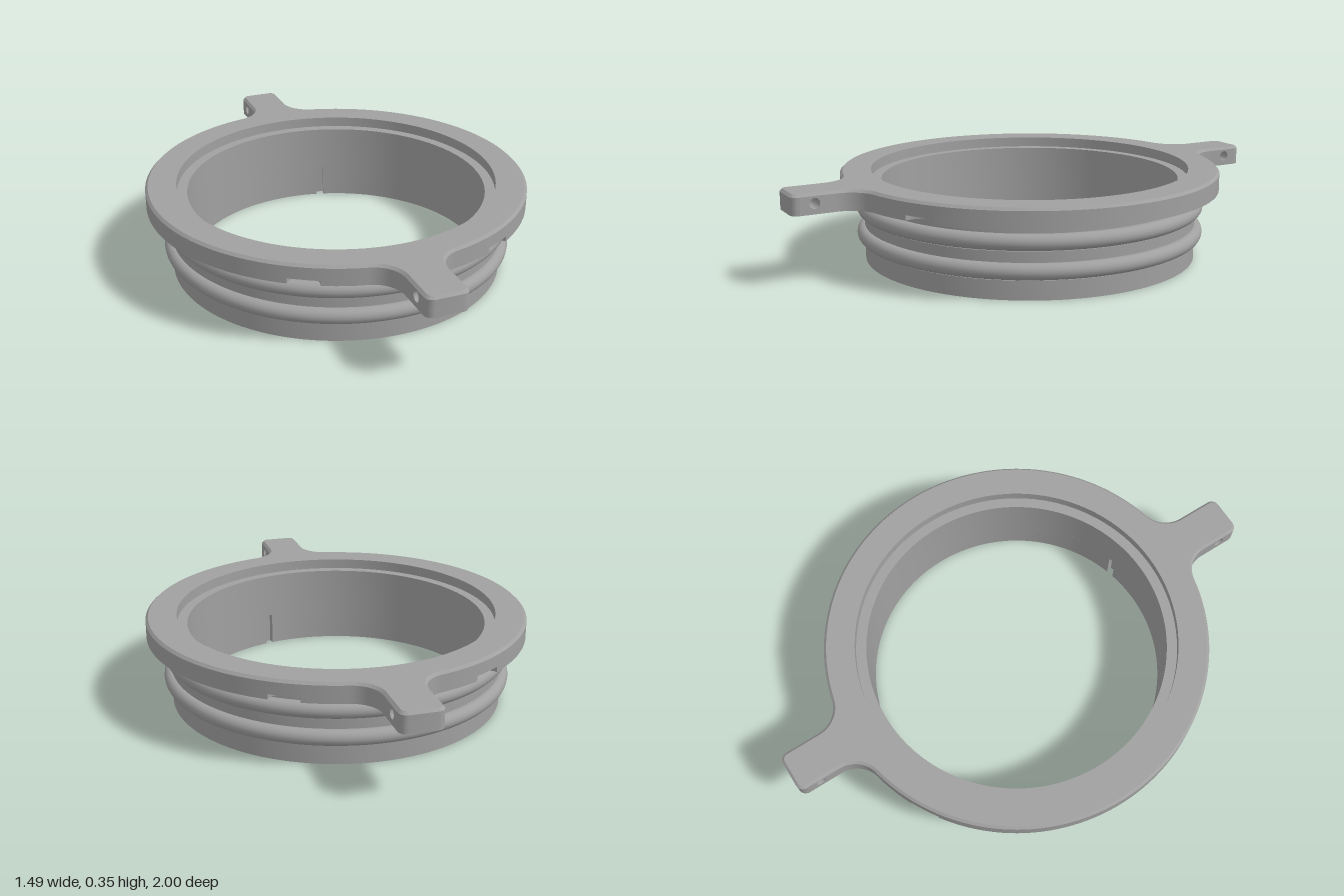
import * as THREE from 'three';
import { toCreasedNormals } from 'three/addons/utils/BufferGeometryUtils.js';

const R = 0.745, BODY = 0.655, BORE = 0.585, SEAT = 0.625;
const Y_FLANGE = 0.275, Y_NOTCH = 0.295, Y_CHAMFER = 0.342, Y_TOP = 0.352, Y_SEAT = 0.312, Y_SLOT = 0.13;
const TAB = 0.08, FILLET = 0.11, CORNER = 0.03, NOTCH = 0.058, SEG = 128;
const TAB_ROOT = Math.sqrt((R + FILLET) ** 2 - (TAB + FILLET) ** 2);

// Points [x, z] on an arc; angles run from +z towards +x
const arc = (cx, cz, r, a0, a1, n) => Array.from({ length: n + 1 }, (_, i) => {
  const a = a0 + (a1 - a0) * i / n;
  return [cx + r * Math.sin(a), cz + r * Math.cos(a)];
});
const circle = (r) => arc(0, 0, r, 0, Math.PI * 2, SEG).slice(0, SEG);

// Half-round notch cut into the rim, 30 degrees off the tab
const NA = Math.PI / 6, NH = 2 * Math.asin(NOTCH / (2 * R));
const notchArc = () => arc(R * Math.sin(NA), R * Math.cos(NA), NOTCH,
  NA - Math.PI / 2 - NH / 2, NA - Math.PI * 1.5 + NH / 2, 16);

// Flange outline: one quarter, mirrored to a full loop
function outline(notched) {
  const xc = TAB + FILLET, phi = Math.atan2(xc, TAB_ROOT);
  const q = [
    ...arc(TAB - CORNER, 1 - CORNER, CORNER, 0, Math.PI / 2, 6),
    ...arc(xc, TAB_ROOT, FILLET, -Math.PI / 2, phi - Math.PI, 12),
    ...arc(0, 0, R, phi, NA - NH, 6).slice(1),
    ...(notched ? notchArc().slice(1, -1) : arc(0, 0, R, NA - NH, NA + NH, 4).slice(1, -1)),
    ...arc(0, 0, R, NA + NH, Math.PI / 2, 24),
  ];
  const flip = (sx, sz) => q.map(([x, z]) => [x * sx, z * sz]);
  return [...q, ...flip(1, -1).reverse().slice(1), ...flip(-1, -1), ...flip(-1, 1).reverse().slice(1)];
}

// Move every point of a loop inwards
const inset = (loop, d) => loop.map(([x, z], i) => {
  const p = loop[(i + loop.length - 1) % loop.length], n = loop[(i + 1) % loop.length];
  const dx = n[0] - p[0], dz = n[1] - p[1], l = Math.hypot(dx, dz);
  return [x + d * dz / l, z - d * dx / l];
});

// Wall between two matching loops; skip leaves out chosen segments
function band(a, y0, b, y1, skip = () => false) {
  const pos = [];
  a.forEach((p, i) => {
    const j = (i + 1) % a.length;
    if (skip(p, a[j])) return;
    const A = [p[0], y0, p[1]], B = [a[j][0], y0, a[j][1]];
    const C = [b[j][0], y1, b[j][1]], D = [b[i][0], y1, b[i][1]];
    pos.push(...A, ...B, ...C, ...A, ...C, ...D);
  });
  const g = new THREE.BufferGeometry();
  g.setAttribute('position', new THREE.Float32BufferAttribute(pos, 3));
  return toCreasedNormals(g, 0.5);
}

// Flat horizontal face with an optional hole, facing up or down
function plate(outer, hole, y, up) {
  const v = (l) => l.map(([x, z]) => new THREE.Vector2(x, up ? -z : z));
  const s = new THREE.Shape(v(outer));
  if (hole) s.holes.push(new THREE.Path(v(hole)));
  return new THREE.ShapeGeometry(s).rotateX(up ? -Math.PI / 2 : Math.PI / 2).translate(0, y, 0);
}

const lathe = (pts) => toCreasedNormals(
  new THREE.LatheGeometry(pts.map(([r, y]) => new THREE.Vector2(r, y)), SEG), 0.5);

export function createModel() {
  const model = new THREE.Group();
  const grey = new THREE.MeshStandardMaterial({ color: 0xa0a0a0, side: THREE.DoubleSide });
  grey.name = 'grey';
  const add = (name, geometry, parent = model) => {
    const m = new THREE.Mesh(geometry, grey);
    m.name = name;
    parent.add(m);
    return m;
  };
  const group = (name) => {
    const g = new THREE.Group();
    g.name = name;
    model.add(g);
    return g;
  };

  // Flange with two tabs, chamfered along the top
  const flange = group('flange');
  const plain = outline(false), notched = outline(true), top = inset(plain, 0.01);
  const tabSide = (p, q) => Math.abs(p[0] - q[0]) < 1e-6 && Math.abs(p[1] - q[1]) > 0.1;
  add('flangeUnderside', plate(notched, circle(BODY), Y_FLANGE, false), flange);
  add('flangeLowerRim', band(notched, Y_FLANGE, notched, Y_NOTCH, tabSide), flange);
  add('flangeRim', band(plain, Y_NOTCH, plain, Y_CHAMFER, tabSide), flange);
  add('flangeChamfer', band(plain, Y_CHAMFER, top, Y_TOP), flange);
  add('flangeTop', plate(top, circle(SEAT), Y_TOP, true), flange);

  // Roofs of the four rim notches
  const roof = [...notchArc(), ...arc(0, 0, R, NA + NH, NA - NH, 6).slice(1, -1)];
  for (const sx of [1, -1]) for (const sz of [1, -1]) {
    const pts = roof.map(([x, z]) => [x * sx, z * sz]);
    add('notchRoof', plate(pts, null, Y_NOTCH, false), flange);
  }

  // Tab sides pierced by a cross hole
  const HZ = 0.915, HY = 0.315, HR = 0.02;
  for (const sz of [1, -1]) {
    const tab = group('tabHole');
    for (const sx of [1, -1]) {
      // Shape x runs along -z on the +x side and along +z on the -x side
      const k = -sx * sz, s = new THREE.Shape();
      s.moveTo(k * TAB_ROOT, Y_FLANGE);
      s.lineTo(k * (1 - CORNER), Y_FLANGE);
      s.lineTo(k * (1 - CORNER), Y_CHAMFER);
      s.lineTo(k * TAB_ROOT, Y_CHAMFER);
      const h = new THREE.Path();
      h.absarc(k * HZ, HY, HR, 0, Math.PI * 2, true);
      s.holes.push(h);
      add('tabSide', new THREE.ShapeGeometry(s, 12).rotateY(sx * Math.PI / 2).translate(sx * TAB, 0, 0), tab);
    }
    const bore = new THREE.CylinderGeometry(HR, HR, TAB * 2, 24, 1, true);
    add('tabBore', bore.rotateZ(Math.PI / 2).translate(0, HY, sz * HZ), tab);
  }

  // Sleeve outside with two seal grooves
  const ringY = [0.105, 0.21], outside = [[BODY, 0]];
  for (const y of ringY) {
    outside.push([BODY, y - 0.033], [0.627, y - 0.033], [0.627, y + 0.033], [BODY, y + 0.033]);
  }
  outside.push([BODY, Y_FLANGE]);
  add('sleeveOutside', lathe(outside));

  // Seal rings
  for (const y of ringY) {
    add('sealRing', new THREE.TorusGeometry(BODY, 0.03, 20, SEG).rotateX(Math.PI / 2).translate(0, y, 0));
  }

  // Bore with a stepped seat at the top
  add('bore', lathe([[SEAT, Y_TOP], [SEAT, Y_SEAT], [BORE, Y_SEAT], [BORE, Y_SLOT]]));

  // Lower bore with two short slots open at the bottom
  const w = 0.015 / BORE, deep = BORE + 0.025, s1 = 0.25, s2 = Math.PI - s1;
  const slot = (a) => arc(0, 0, deep, a - w, a + w, 2);
  const inner = [
    ...arc(0, 0, BORE, s1 + w, s2 - w, 54), ...slot(s2),
    ...arc(0, 0, BORE, s2 + w, s1 + Math.PI * 2 - w, 74), ...slot(s1),
  ];
  const inward = [...inner].reverse();
  add('lowerBore', band(inward, 0, inward, Y_SLOT));
  add('sleeveBottom', plate(circle(BODY), inner, 0, false));
  for (const a of [s1, s2]) {
    add('slotRoof', plate([...slot(a), ...arc(0, 0, BORE, a + w, a - w, 2)], null, Y_SLOT, false));
  }

  return model;
}
